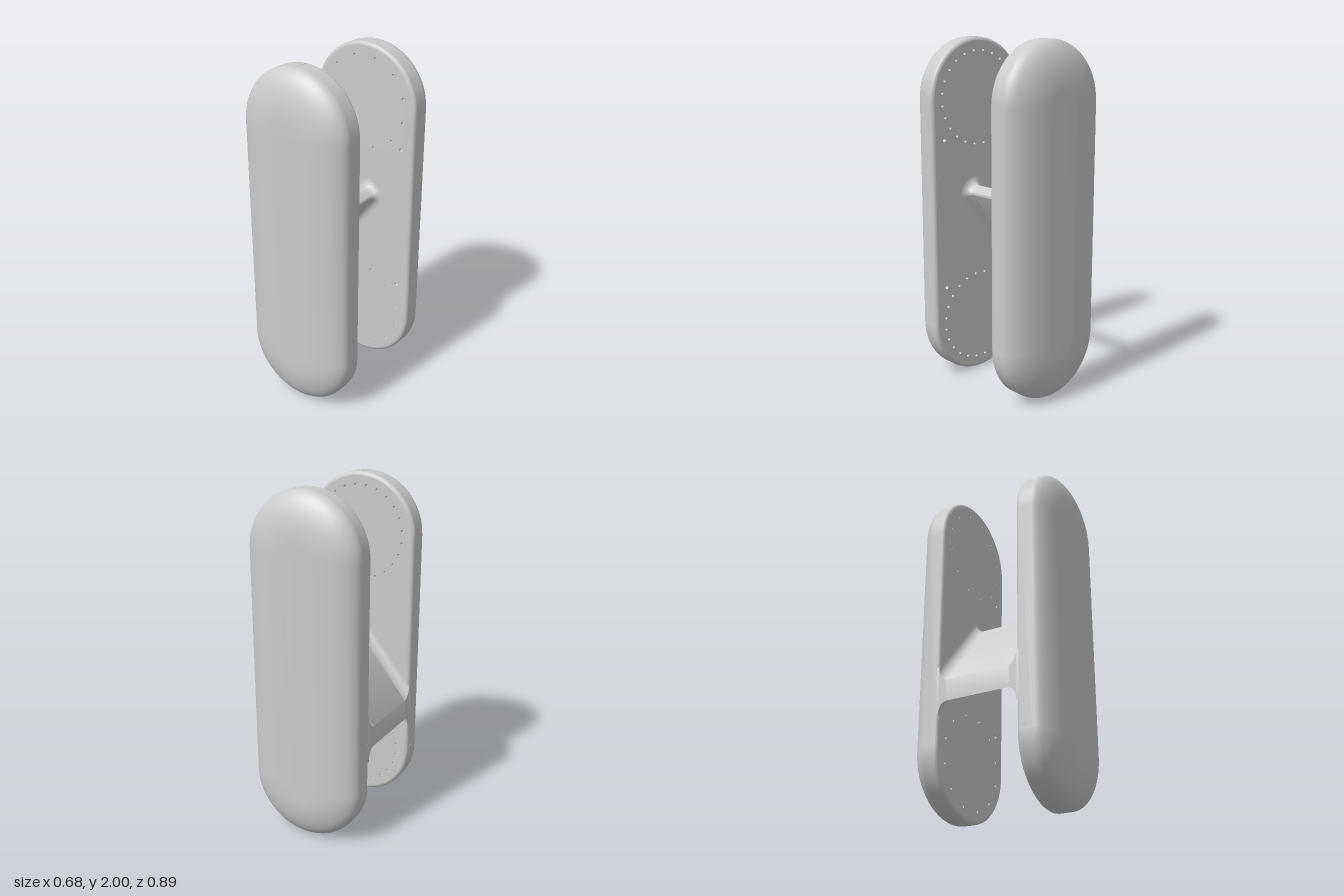
import * as THREE from 'three';
import { mergeGeometries, toCreasedNormals } from 'three/addons/utils/BufferGeometryUtils.js';

const HALF_W = 0.34, HALF_L = 0.66;   // stadium radius and half straight length
const INNER_Z = 0.24, RIM_Z = 0.33, OUTER_Z = 0.445;

const grey = new THREE.MeshStandardMaterial({ color: 0xcccccc });
const greyDouble = new THREE.MeshStandardMaterial({ color: 0xcccccc, side: THREE.DoubleSide });

function addMesh(parent, name, geometry, material = grey) {
  const mesh = new THREE.Mesh(geometry, material);
  mesh.name = name;
  parent.add(mesh);
  return mesh;
}

// Counter-clockwise stadium outline, standing upright around y = 1
function stadium(inset, steps = 28) {
  const r = HALF_W - inset, pts = [];
  for (const side of [1, -1]) {
    for (let i = 0; i <= steps; i++) {
      const a = Math.PI * i / steps;
      pts.push(new THREE.Vector2(side * r * Math.cos(a), 1 + side * (HALF_L + r * Math.sin(a))));
    }
  }
  return pts;
}

// Skin through closed rings of equal point count: [{ z, pts }]
function loft(rings) {
  const n = rings[0].pts.length, pos = [], index = [];
  for (const { z, pts } of rings) for (const p of pts) pos.push(p.x, p.y, z);
  for (let i = 0; i < rings.length - 1; i++) {
    for (let j = 0; j < n; j++) {
      const a = i * n + j, b = i * n + (j + 1) % n;
      index.push(a, b, b + n, a, b + n, a + n);
    }
  }
  const g = new THREE.BufferGeometry();
  g.setAttribute('position', new THREE.Float32BufferAttribute(pos, 3));
  g.setIndex(index);
  g.computeVertexNormals();
  return g;
}

// Domed plate facing +z; pinX is the side carrying the two single pin holes
function makePlate(name, ringCount, pinX) {
  const plate = new THREE.Group();
  plate.name = name;

  // Rounded inner edge, straight rim, elliptical dome
  const rings = [];
  const edge = 0.02, domeW = 0.26;
  for (let i = 0; i <= 4; i++) {
    const a = Math.PI / 2 * i / 4;
    rings.push({ z: INNER_Z + edge * (1 - Math.cos(a)), pts: stadium(edge * (1 - Math.sin(a))) });
  }
  for (let i = 0; i <= 16; i++) {
    const a = Math.PI / 2 * i / 16;
    rings.push({
      z: RIM_Z + (OUTER_Z - RIM_Z) * Math.sin(a),
      pts: stadium(domeW * (1 - Math.cos(a))),
    });
  }
  rings.push({ z: OUTER_Z, pts: stadium(HALF_W) });
  addMesh(plate, 'domedShell', loft(rings));

  // Hole positions: a ring at each end plus two pin holes
  const holes = [];
  for (const end of [1, -1]) {
    for (let i = 0; i < ringCount; i++) {
      const a = 2 * Math.PI * (i + 0.5) / ringCount;
      holes.push({ x: 0.268 * Math.cos(a), y: 1 + end * HALF_L + 0.268 * Math.sin(a), r: 0.008 });
    }
    holes.push({ x: pinX, y: 1 + end * 0.435, r: 0.012 });
  }

  // Perforated inner face, turned to look at the other plate
  const shape = new THREE.Shape(stadium(edge));
  for (const h of holes) {
    shape.holes.push(new THREE.Path().absarc(-h.x, h.y, h.r, 0, 2 * Math.PI, true));
  }
  const face = new THREE.ShapeGeometry(shape, 6).rotateY(Math.PI).translate(0, 0, INNER_Z);
  addMesh(plate, 'innerFace', face);

  // Blind cups behind the holes
  const cups = holes.map(({ x, y, r }) => {
    const profile = [[0, 0.02], [r, 0.02], [r, 0]].map(p => new THREE.Vector2(...p));
    return new THREE.LatheGeometry(profile, 12).rotateX(Math.PI / 2).translate(x, y, INNER_Z);
  });
  addMesh(plate, 'holeCups', mergeGeometries(cups), greyDouble);
  return plate;
}

// Slanted web between the plates, flaring into them with a fillet
function makeWeb() {
  const u = new THREE.Vector2(0.64, 0.768);      // along the slope
  const n = new THREE.Vector2(-0.768, 0.64);     // out of the upper side
  const tip = new THREE.Vector2(0.07, 1.135);
  const half = 0.039, corner = 0.02, fillet = 0.05;

  const section = d => {
    const at = (s, t) => tip.clone().addScaledVector(u, s).addScaledVector(n, t);
    const pts = [];
    for (const side of [-1, 1]) {
      for (let i = 0; i <= 6; i++) {
        const a = Math.PI / 2 * (i / 6 + (side < 0 ? -1 : 0));
        const r = corner + d;
        pts.push(at(-corner + r * Math.cos(a), side * (half - corner) + r * Math.sin(a)));
      }
    }
    // Cut both sides flush with the plates' edge
    const cut = p => new THREE.Vector2(-HALF_W, p.y - (p.x + HALF_W) * u.y / u.x);
    return [cut(pts[0]), ...pts, cut(pts[pts.length - 1])];
  };

  const half3 = [{ z: 0.255, d: fillet }];
  for (let i = 0; i <= 8; i++) {
    const a = Math.PI / 2 * i / 8;
    half3.push({ z: INNER_Z - fillet * (1 - Math.cos(a)), d: fillet * (1 - Math.sin(a)) });
  }
  const all = [...half3.map(({ z, d }) => ({ z: -z, d })), ...half3.slice().reverse()];
  return toCreasedNormals(loft(all.map(({ z, d }) => ({ z, pts: section(d) }))), 0.7);
}

export function createModel() {
  const model = new THREE.Group();
  model.name = 'twinPlateHolder';

  const front = makePlate('frontPlate', 24, 0.256);
  const back = makePlate('backPlate', 12, -0.256);
  back.rotation.y = Math.PI;
  model.add(front, back);

  addMesh(model, 'slantedWeb', makeWeb());

  // Fine marks across the front plate's rim
  const markZ = (INNER_Z + RIM_Z) / 2 + 0.008;
  addMesh(front, 'topRimMark', new THREE.BoxGeometry(0.01, 0.01, 0.07)).position.set(0, 1.996, markZ);
  addMesh(front, 'sideRimMark', new THREE.BoxGeometry(0.01, 0.01, 0.07)).position.set(-0.336, 0.37, markZ);
  return model;
}
